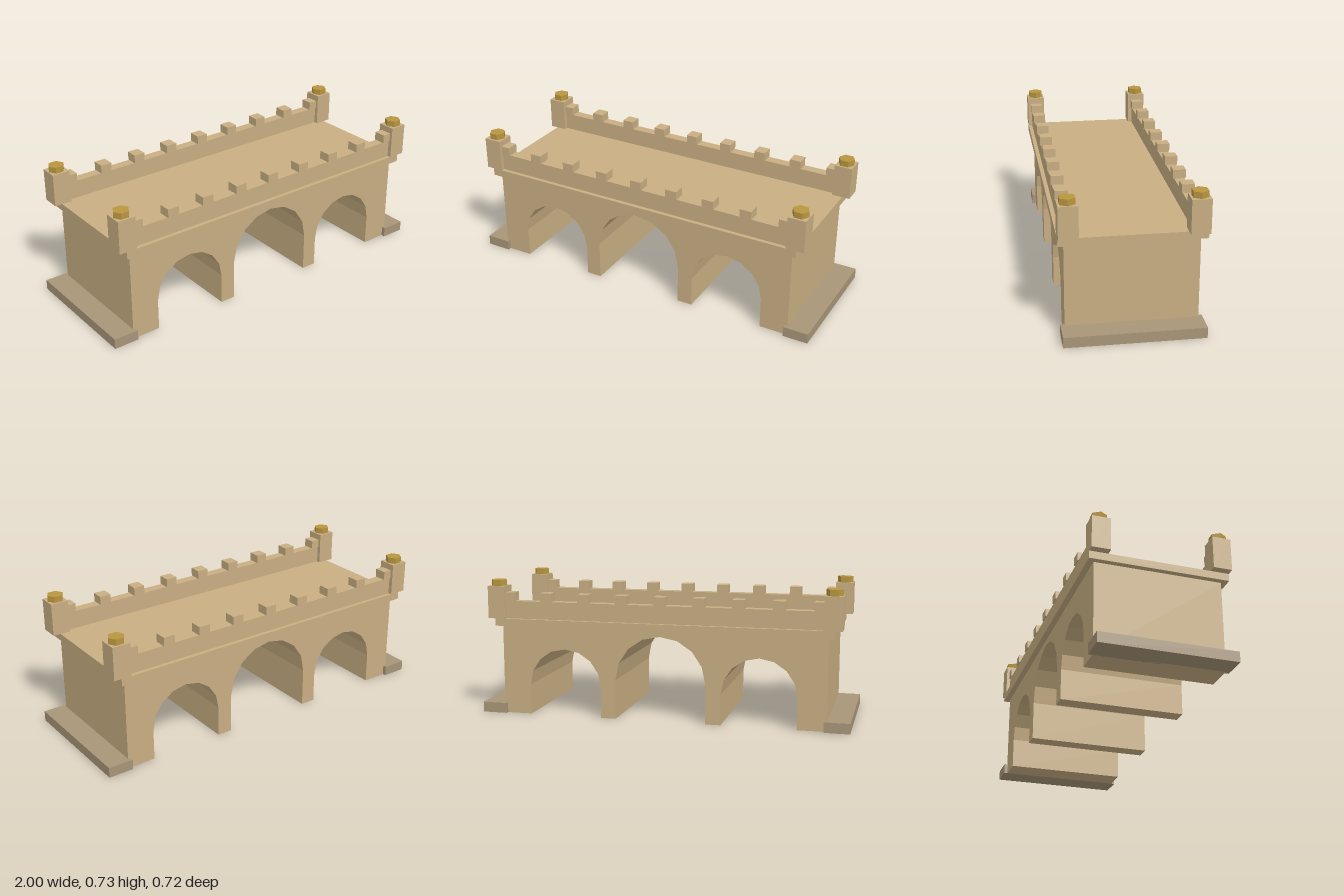
import * as THREE from 'three';

const sandstone = new THREE.MeshStandardMaterial({ name: 'sandstone', color: 0xc8ae82 });
const footingStone = new THREE.MeshStandardMaterial({ name: 'footing stone', color: 0xa89578 });
const gold = new THREE.MeshStandardMaterial({ name: 'gold', color: 0xb8963e });

export function createModel() {
  const model = new THREE.Group();
  model.name = 'archedBridge';

  const add = (name, geometry, material, x = 0, y = 0, z = 0) => {
    const mesh = new THREE.Mesh(geometry, material);
    mesh.name = name;
    mesh.position.set(x, y, z);
    model.add(mesh);
    return mesh;
  };
  // Box given by its size and the height of its underside
  const box = (name, material, w, h, d, x, bottom, z) =>
    add(name, new THREE.BoxGeometry(w, h, d), material, x, bottom + h / 2, z);

  // Bridge body: one outline that runs along the ground and over each arch
  const outline = new THREE.Shape();
  outline.moveTo(-0.88, 0);
  const arches = [
    { x: -0.527, radius: 0.2, spring: 0.165 },
    { x: 0, radius: 0.245, spring: 0.21 },
    { x: 0.527, radius: 0.2, spring: 0.165 },
  ];
  for (const { x, radius, spring } of arches) {
    outline.lineTo(x - radius, 0);
    for (let i = 0; i <= 8; i++) {
      const a = Math.PI * (1 - i / 8);
      outline.lineTo(x + radius * Math.cos(a), spring + radius * Math.sin(a));
    }
    outline.lineTo(x + radius, 0);
  }
  outline.lineTo(0.88, 0);
  outline.lineTo(0.88, 0.485);
  outline.lineTo(-0.88, 0.485);
  outline.closePath();
  const body = new THREE.ExtrudeGeometry(outline, { depth: 0.66, bevelEnabled: false });
  add('archedBody', body, sandstone, 0, 0, -0.33);

  // Road deck overhanging the body
  box('deck', sandstone, 1.82, 0.04, 0.722, 0, 0.485, 0);

  // Footings at both ends
  for (const sx of [-1, 1]) box('footing', footingStone, 0.135, 0.055, 0.7, sx * 0.9325, 0, 0);

  for (const sz of [-1, 1]) {
    const z = sz * 0.3125;
    // Parapet wall with merlons
    box('parapet', sandstone, 1.74, 0.095, 0.054, 0, 0.525, z);
    for (let i = -4; i <= 4; i++) {
      box('merlon', sandstone, 0.063, 0.046, 0.066, i * 0.209, 0.62, z);
    }
    // Corner posts with hexagonal caps
    for (const sx of [-1, 1]) {
      box('cornerPost', sandstone, 0.096, 0.175, 0.097, sx * 0.902, 0.525, z);
      const hex = new THREE.CylinderGeometry(0.043, 0.043, 0.032, 6).toNonIndexed();
      hex.rotateY(Math.PI / 6);
      hex.computeVertexNormals();
      add('postCap', hex, gold, sx * 0.902, 0.716, z);
    }
  }

  return model;
}
